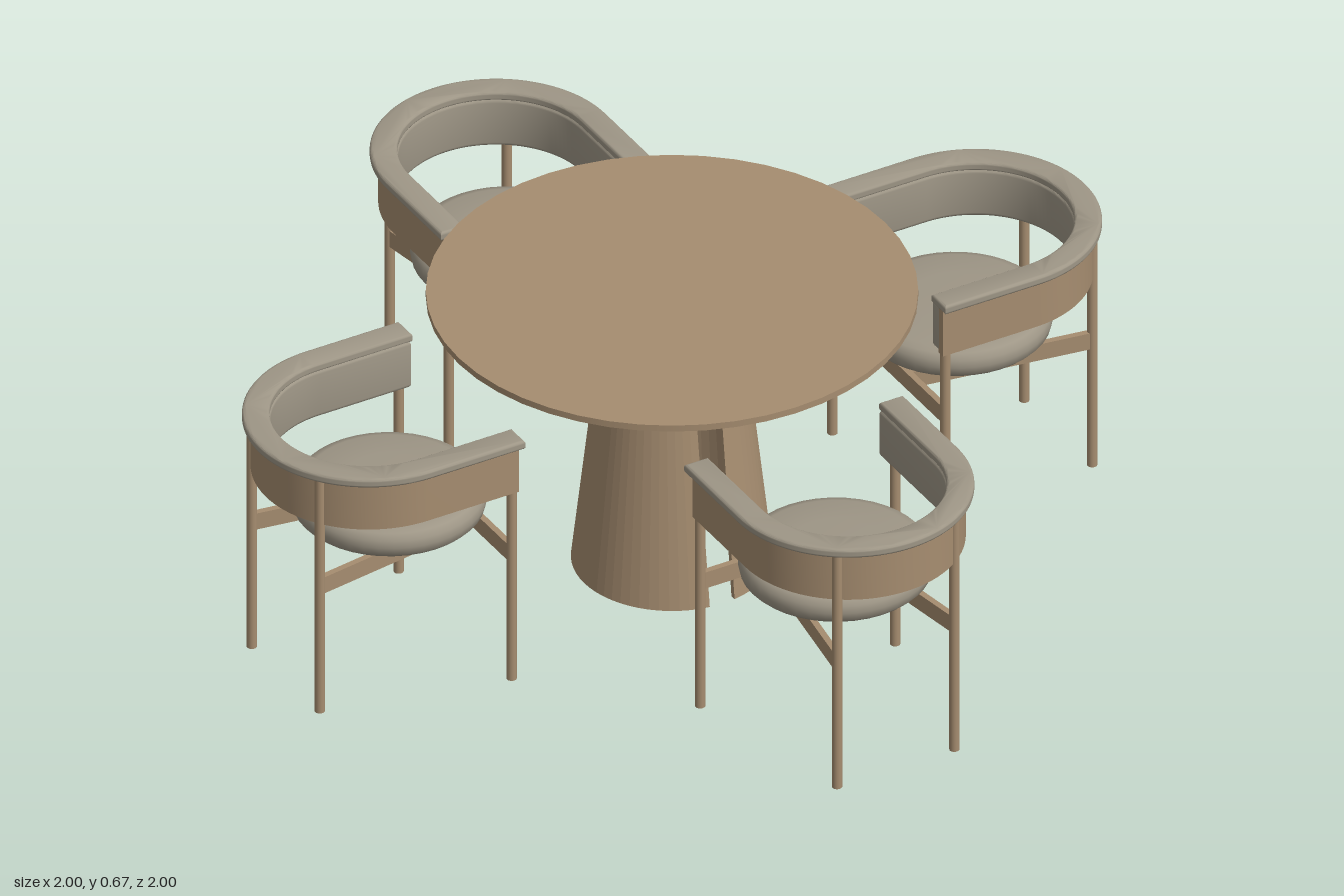
import * as THREE from 'three';
import { toCreasedNormals } from 'three/addons/utils/BufferGeometryUtils.js';

const wood = new THREE.MeshStandardMaterial({ color: 0xa68d70 });
wood.name = 'wood';
const fabric = new THREE.MeshStandardMaterial({ color: 0x9e9686 });
fabric.name = 'fabric';

const BACK_CENTRE = 0.735; // z where the chair back starts to curve
const BAR_Y = 0.315;

function add(parent, name, geometry, material) {
  const mesh = new THREE.Mesh(geometry, material);
  mesh.name = name;
  parent.add(mesh);
  return mesh;
}

// Horseshoe band: straight arms joined by a half circle, standing between two heights
function horseshoe(outer, inner, front, bottom, top, bevel = 0) {
  const o = outer - bevel, i = inner + bevel, f = front + bevel;
  const shape = new THREE.Shape();
  shape.moveTo(o, f);
  shape.lineTo(o, BACK_CENTRE);
  shape.absarc(0, BACK_CENTRE, o, 0, Math.PI, false);
  shape.lineTo(-o, f);
  shape.lineTo(-i, f);
  shape.lineTo(-i, BACK_CENTRE);
  shape.absarc(0, BACK_CENTRE, i, Math.PI, 0, true);
  shape.lineTo(i, f);
  const g = new THREE.ExtrudeGeometry(shape, {
    depth: top - bottom - 2 * bevel, curveSegments: 28, steps: 1,
    bevelEnabled: bevel > 0, bevelSize: bevel, bevelThickness: bevel, bevelSegments: 4,
  });
  g.rotateX(Math.PI / 2);
  g.translate(0, top - bevel, 0);
  return toCreasedNormals(g, 0.6);
}

// Upright rail between two floor points
function bar(parent, name, x1, z1, x2, z2) {
  const dx = x2 - x1, dz = z2 - z1;
  const m = add(parent, name, new THREE.BoxGeometry(0.014, 0.04, Math.hypot(dx, dz)), wood);
  m.position.set((x1 + x2) / 2, BAR_Y, (z1 + z2) / 2);
  m.rotation.y = Math.atan2(dx, dz);
}

function createChair() {
  const chair = new THREE.Group();
  chair.name = 'chair';

  // Back and arms
  add(chair, 'backBand', horseshoe(0.247, 0.228, 0.513, 0.47, 0.587), wood);
  add(chair, 'backPad', horseshoe(0.23, 0.205, 0.513, 0.472, 0.59, 0.01), fabric);
  add(chair, 'armRail', horseshoe(0.265, 0.207, 0.508, 0.584, 0.606, 0.007), fabric);

  // Round cushion on a narrower base
  const profile = [
    [0, 0.336], [0.165, 0.336], [0.175, 0.348], [0.192, 0.35], [0.202, 0.36], [0.206, 0.378],
    [0.204, 0.395], [0.194, 0.408], [0.175, 0.414], [0.1, 0.417], [0, 0.418],
  ].map(([r, y]) => new THREE.Vector2(r, y));
  const cushion = toCreasedNormals(new THREE.LatheGeometry(profile, 40), 0.7);
  add(chair, 'seatCushion', cushion, fabric).position.z = 0.685;

  // Legs and rails under the seat
  for (const s of [-1, 1]) {
    for (const [name, x, z] of [['frontLeg', 0.236, 0.525], ['backLeg', 0.142, 0.935]]) {
      const leg = add(chair, name, new THREE.CylinderGeometry(0.011, 0.011, 0.59, 14), wood);
      leg.position.set(s * x, 0.295, z);
    }
    bar(chair, 'sideRail', s * 0.142, 0.935, s * 0.08, 0.525);
  }
  bar(chair, 'frontRail', -0.236, 0.525, 0.236, 0.525);
  return chair;
}

// Half of the hollow tapered pedestal, leaving a straight slit at x = 0
function pedestalHalf() {
  const slit = 0.03, outer = 0.212, inner = 0.199, height = 0.652;
  const a = Math.acos(slit / outer), b = Math.acos(slit / inner);
  const shape = new THREE.Shape();
  shape.absarc(0, 0, outer, -a, a, false);
  shape.absarc(0, 0, inner, b, -b, true);
  const g = new THREE.ExtrudeGeometry(shape, { depth: height, bevelEnabled: false, curveSegments: 14 });
  g.rotateX(Math.PI / 2);
  g.translate(0, height, 0);
  const p = g.attributes.position;
  for (let i = 0; i < p.count; i++) {
    const s = 1 - 0.39 * p.getY(i) / height;
    p.setX(i, slit + (p.getX(i) - slit) * s);
    p.setZ(i, p.getZ(i) * s);
  }
  g.computeVertexNormals();
  return g;
}

export function createModel() {
  const model = new THREE.Group();
  model.name = 'diningSet';

  const table = new THREE.Group();
  table.name = 'table';
  model.add(table);
  add(table, 'tableTop', new THREE.CylinderGeometry(0.516, 0.516, 0.015, 48), wood).position.y = 0.6575;
  const half = pedestalHalf();
  add(table, 'pedestalLeft', half, wood);
  add(table, 'pedestalRight', half, wood).rotation.y = Math.PI;

  // Four chairs around the table
  for (let i = 0; i < 4; i++) {
    const chair = createChair();
    chair.rotation.y = i * Math.PI / 2;
    model.add(chair);
  }
  return model;
}
